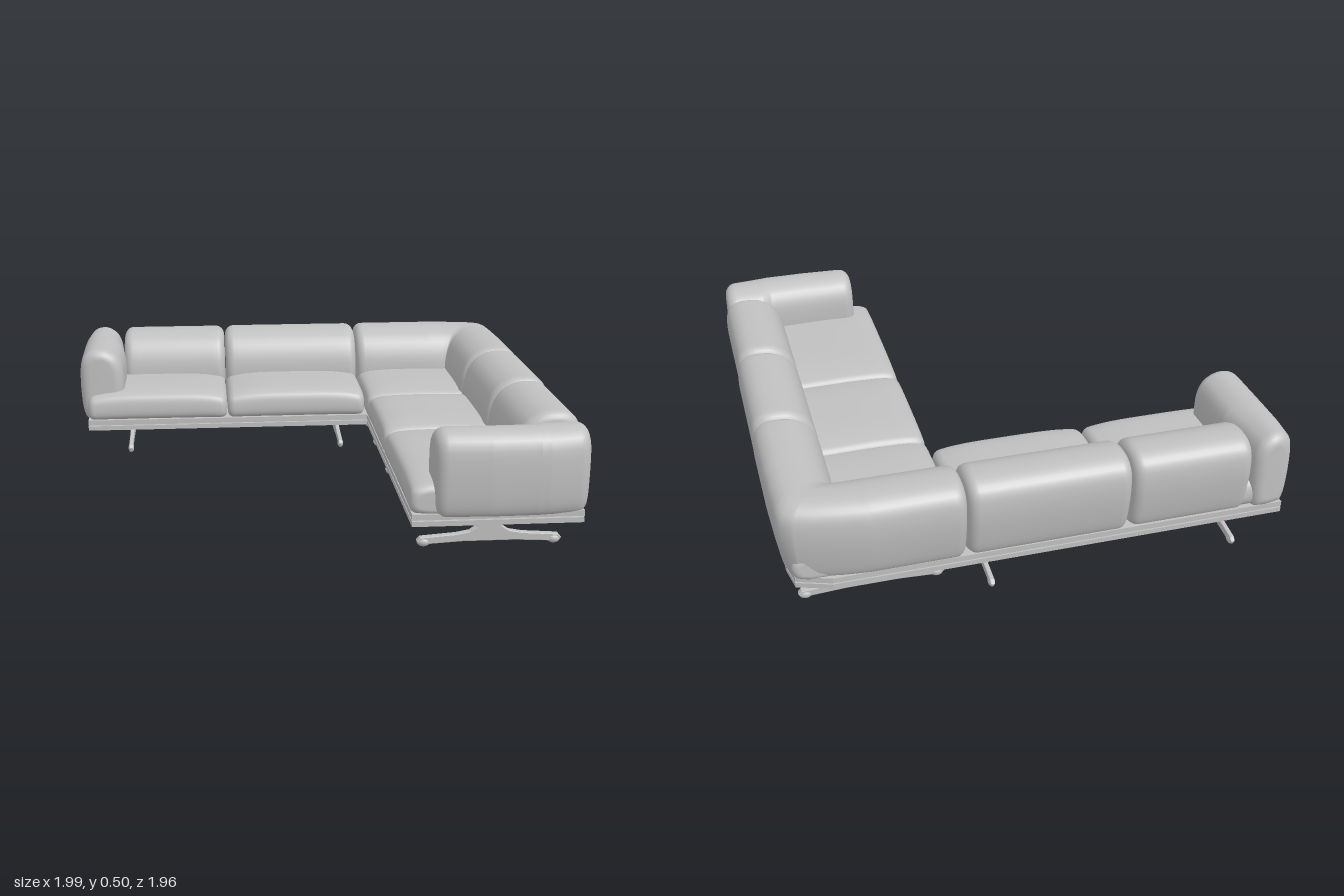
import * as THREE from 'three';

const upholstery = new THREE.MeshStandardMaterial({ color: 0xc0c0c0 });
upholstery.name = 'light grey';

// Cross-sections: [0 = inner side, 1 = outer side; height]
const BACK = [[0.1, 0.2], [0, 0.28], [0.02, 0.37], [0.13, 0.445], [0.35, 0.492], [0.62, 0.505], [0.86, 0.492],
  [0.98, 0.45], [1, 0.38], [0.96, 0.28], [0.89, 0.2], [0.8, 0.183], [0.22, 0.185]];
const ARM = [[0.06, 0.2], [0.0, 0.3], [0.01, 0.4], [0.1, 0.455], [0.3, 0.49], [0.55, 0.503], [0.82, 0.487],
  [0.97, 0.44], [1, 0.35], [0.97, 0.24], [0.9, 0.19], [0.75, 0.18], [0.2, 0.182]];
const SEAT = [[0.0, 0.25], [0.015, 0.29], [0.07, 0.31], [0.25, 0.32], [0.6, 0.318], [0.93, 0.31], [0.99, 0.28],
  [1, 0.23], [0.97, 0.192], [0.5, 0.188], [0.04, 0.19], [0.005, 0.21]];

// Soft cushion: sweeps a section through plan stations [innerX, innerZ, outerX, outerZ], rounding both ends
function cushion(name, section, stations, r = 0.04, crown = 0) {
  const loop = new THREE.CatmullRomCurve3(section.map(([u, y]) => new THREE.Vector3(u, y, 0)), true)
    .getPoints(44).slice(0, -1);
  const n = loop.length;
  const ys = loop.map(p => p.y), y0 = Math.min(...ys), h = Math.max(...ys) - y0;
  const mid = s => new THREE.Vector2((s[0] + s[2]) / 2, (s[1] + s[3]) / 2);
  const dist = [0];
  for (let i = 1; i < stations.length; i++) dist.push(dist[i - 1] + mid(stations[i]).distanceTo(mid(stations[i - 1])));
  const L = dist[dist.length - 1];
  const at = d => {
    let i = 0;
    while (i < stations.length - 2 && d > dist[i + 1]) i++;
    const f = (d - dist[i]) / (dist[i + 1] - dist[i]);
    return stations[i].map((v, k) => v + (stations[i + 1][k] - v) * f);
  };

  // distance along the path and inset of every ring
  const rings = [];
  for (let k = 0; k <= 6; k++) {
    const a = k / 6 * Math.PI / 2, d = r * (1 - Math.cos(a)), inset = r * (1 - Math.sin(a));
    rings.push([d, inset], [L - d, inset]);
  }
  for (let k = 1; k < 16; k++) rings.push([r + (L - 2 * r) * k / 16, 0]);
  dist.filter(d => d > r && d < L - r).forEach(d => rings.push([d, 0]));
  rings.sort((a, b) => a[0] - b[0]);

  const pos = [], idx = [];
  for (const [d, inset] of rings) {
    const s = at(d), w = Math.hypot(s[2] - s[0], s[3] - s[1]);
    const drop = crown * Math.pow(Math.abs(2 * d / L - 1), 4);
    for (const p of loop) {
      const u = 0.5 + (p.x - 0.5) * (1 - 2 * inset / w);
      const y = y0 + h / 2 + (p.y - y0 - h / 2) * (1 - 2 * inset / h);
      pos.push(s[0] + (s[2] - s[0]) * u, y - drop * (y - y0) / h, s[1] + (s[3] - s[1]) * u);
    }
  }
  const R = rings.length;
  for (let i = 0; i < R - 1; i++) for (let j = 0; j < n; j++) {
    const a = i * n + j, b = i * n + (j + 1) % n;
    idx.push(a, b, a + n, b, b + n, a + n);
  }
  // end caps
  [[0, 0], [L, R - 1]].forEach(([d, ring], e) => {
    const m = mid(at(d)), c = pos.length / 3;
    pos.push(m.x, y0 + (h - crown) / 2, m.y);
    for (let j = 0; j < n; j++) {
      const a = ring * n + j, b = ring * n + (j + 1) % n;
      idx.push(...(e ? [a, b, c] : [b, a, c]));
    }
  });
  // keep faces pointing outward whichever way the path runs
  let volume = 0;
  const v = i => new THREE.Vector3().fromArray(pos, i * 3);
  for (let i = 0; i < idx.length; i += 3) volume += v(idx[i]).dot(v(idx[i + 1]).cross(v(idx[i + 2])));
  if (volume < 0) idx.reverse();

  const g = new THREE.BufferGeometry();
  g.setAttribute('position', new THREE.Float32BufferAttribute(pos, 3));
  g.setIndex(idx);
  g.computeVertexNormals();
  const mesh = new THREE.Mesh(g, upholstery);
  mesh.name = name;
  return mesh;
}

// Straight cushions running along x or along z
const alongX = (x0, x1, inner, outer) => [[x0, inner, x0, outer], [x1, inner, x1, outer]];
const alongZ = (z0, z1, inner, outer) => [[inner, z0, outer, z0], [inner, z1, outer, z1]];

// L-shaped platform slab
function slab(name, y, height, inset) {
  const i = inset;
  const outline = [[-0.96 + i, -0.945 + i], [0.8, -0.945 + i], [0.93 - i, -0.9 + i], [0.95 - i, -0.8], [0.95 - i, 0.94 - i],
    [0.31 + i, 0.94 - i], [0.31 + i, -0.36 - i], [-0.96 + i, -0.36 - i]];
  const shape = new THREE.Shape(outline.map(([x, z]) => new THREE.Vector2(x, -z)));
  const g = new THREE.ExtrudeGeometry(shape, { depth: height, bevelEnabled: false });
  g.rotateX(-Math.PI / 2).translate(0, y, 0);
  const mesh = new THREE.Mesh(g, upholstery);
  mesh.name = name;
  return mesh;
}

// Blade leg: flared post on a slim bar with a rounded foot at each end
function leg(x, z, half, thick, turned) {
  const side = [[0.055, 0.15], [0.043, 0.125], [0.04, 0.1], [0.046, 0.075], [0.075, 0.056], [0.13, 0.046],
    [half - 0.01, 0.036], [half, 0.024], [half - 0.01, 0.01], [half - 0.03, 0.014], [0.1, 0.022]];
  const outline = [...side, ...side.map(([a, b]) => [-a, b]).reverse()];
  const shape = new THREE.Shape(outline.map(p => new THREE.Vector2(...p)));
  const g = new THREE.ExtrudeGeometry(shape, {
    depth: thick - 0.008, bevelThickness: 0.004, bevelSize: 0.003, bevelSegments: 2,
  }).translate(0, 0, -thick / 2 + 0.004);
  const group = new THREE.Group();
  group.name = 'leg';
  const blade = new THREE.Mesh(g, upholstery);
  blade.name = 'legBlade';
  group.add(blade);
  for (const s of [-1, 1]) {
    const foot = new THREE.Mesh(new THREE.SphereGeometry(1, 14, 10), upholstery);
    foot.name = 'foot';
    foot.scale.set(0.026, 0.019, thick * 0.75);
    foot.position.set(s * (half - 0.024), 0.019, 0);
    group.add(foot);
  }
  group.position.set(x, 0, z);
  if (turned) group.rotation.y = Math.PI / 2;
  return group;
}

export function createModel() {
  const model = new THREE.Group();
  model.name = 'cornerSofa';

  // platform
  model.add(slab('platformLower', 0.145, 0.02, 0), slab('platformGap', 0.16, 0.02, 0.012),
    slab('platformUpper', 0.17, 0.022, 0));

  // seats
  model.add(
    cushion('seatRightOuter', SEAT, alongX(-0.96, -0.332, -0.36, -0.94), 0.03, 0.025),
    cushion('seatRightInner', SEAT, alongX(-0.328, 0.298, -0.36, -0.94), 0.03, 0.025),
    cushion('seatCorner', SEAT, alongZ(-0.93, -0.305, 0.302, 0.94), 0.03, 0.02),
    cushion('seatLeftInner', SEAT, alongZ(-0.303, 0.227, 0.302, 0.94), 0.03, 0.02),
    cushion('seatLeftOuter', SEAT, alongZ(0.23, 0.935, 0.302, 0.94), 0.03, 0.02));

  // backrests
  model.add(
    cushion('backRightOuter', BACK, alongX(-0.81, -0.332, -0.695, -0.97)),
    cushion('backRightInner', BACK, alongX(-0.328, 0.298, -0.695, -0.975)),
    cushion('backLeftInner', BACK, alongZ(-0.303, 0.227, 0.73, 0.99)),
    cushion('backLeftOuter', BACK, alongZ(0.23, 0.73, 0.73, 0.985)));

  // corner backrest, bending around the inner corner
  model.add(cushion('backCorner', BACK, [
    [0.302, -0.69, 0.302, -0.98], [0.66, -0.69, 0.66, -0.982], [0.72, -0.695, 0.76, -0.97], [0.728, -0.698, 0.86, -0.952],
    [0.73, -0.7, 0.93, -0.934], [0.73, -0.7, 0.965, -0.91], [0.73, -0.7, 0.98, -0.865], [0.73, -0.69, 0.985, -0.78],
    [0.73, -0.64, 0.99, -0.64], [0.73, -0.305, 0.992, -0.305]]));

  // arms, widened where they meet the backrests
  model.add(
    cushion('armRight', ARM, [[-0.825, -0.965, -0.985, -0.94], [-0.815, -0.8, -0.997, -0.8],
      [-0.798, -0.68, -0.998, -0.68], [-0.798, -0.41, -0.993, -0.41]], 0.045),
    cushion('armLeft', ARM, [[0.39, 0.768, 0.39, 0.968], [0.6, 0.768, 0.6, 0.98], [0.77, 0.765, 0.77, 0.978],
      [0.81, 0.738, 0.81, 0.977], [0.972, 0.735, 0.965, 0.955]], 0.045));

  // legs
  for (const z of [-0.79, -0.48, -0.07, 0.77]) model.add(leg(0.635, z, 0.275, 0.027, false));
  for (const x of [-0.78, 0.2]) model.add(leg(x, -0.695, 0.235, 0.018, true));
  return model;
}
